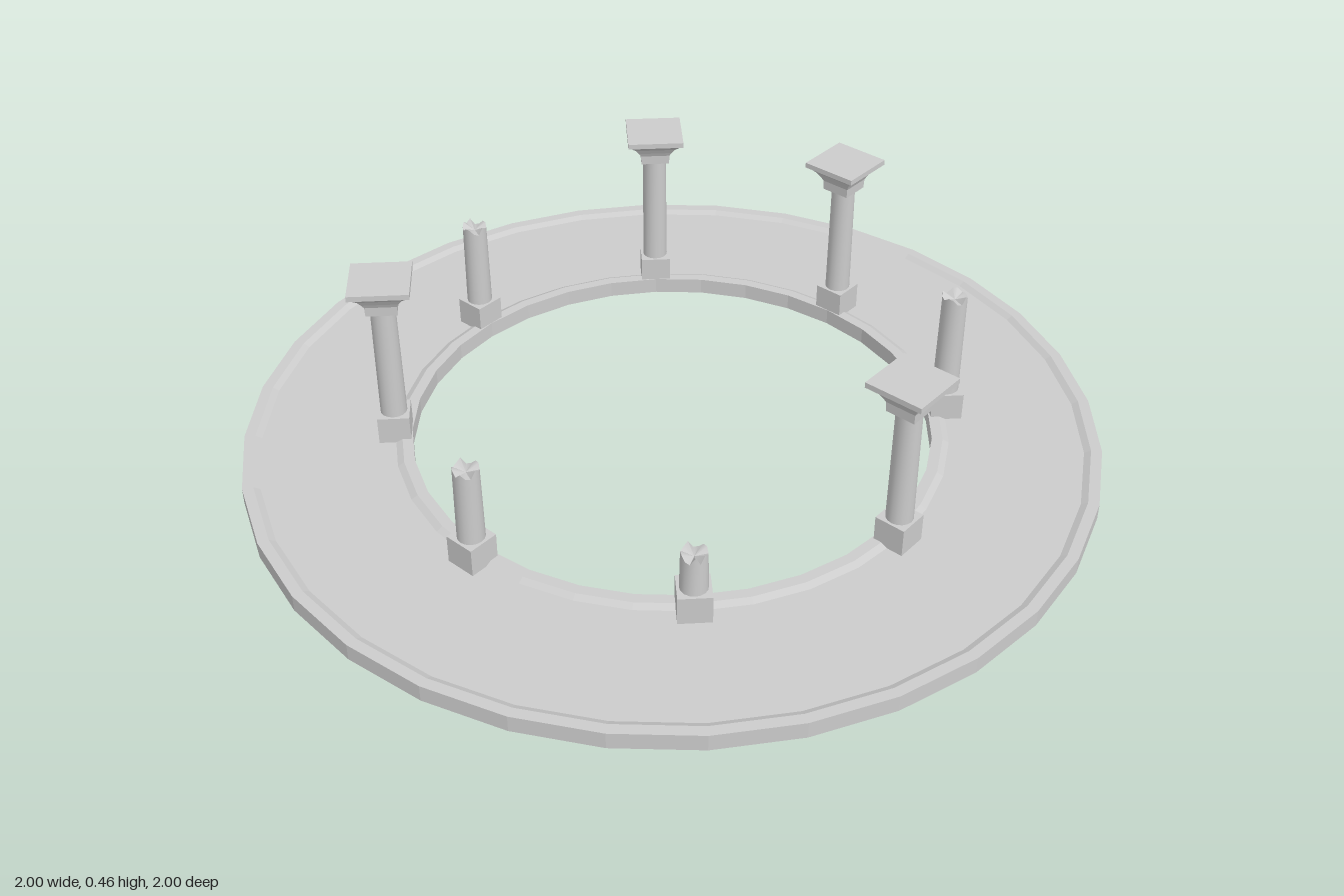
import * as THREE from 'three';
import { toCreasedNormals } from 'three/addons/utils/BufferGeometryUtils.js';

const SIDES = 16, FLOOR = 0.032, BASE_TOP = 0.1, COLLAR = 0.385;
const smooth = new THREE.MeshStandardMaterial({ color: 0xcccccc });
const faceted = new THREE.MeshStandardMaterial({ color: 0xcccccc, flatShading: true });

function add(parent, name, geometry, material, y = 0) {
  const mesh = new THREE.Mesh(geometry, material);
  mesh.name = name;
  mesh.position.y = y;
  parent.add(mesh);
  return mesh;
}

const points = (list) => list.map(([x, y]) => new THREE.Vector2(x, y));

// Shaft; a broken one gets a jagged rim around a hollowed top
function shaftGeometry(top, broken, seed) {
  const height = top - BASE_TOP;
  const geometry = new THREE.CylinderGeometry(0.029, 0.031, height, SIDES);
  if (broken) {
    const jag = [0, 0.012, 0.004, 0.018, 0.009, 0.003, 0.015];
    const pos = geometry.attributes.position;
    for (let i = 0; i < pos.count; i++) {
      if (pos.getY(i) < height / 2 - 1e-4) continue;
      const x = pos.getX(i), z = pos.getZ(i);
      const step = (Math.round(Math.atan2(z, x) / (2 * Math.PI) * SIDES) + SIDES) % SIDES;
      const drop = Math.hypot(x, z) < 0.001 ? 0.018 : jag[(step * 3 + seed) % jag.length];
      pos.setY(i, height / 2 - drop);
    }
  }
  geometry.translate(0, BASE_TOP + height / 2, 0);
  return toCreasedNormals(geometry, 0.6);
}

// Square capital: collar, concave flare and flat slab
function capitalGeometry() {
  const profile = [
    [0, COLLAR], [0.035, COLLAR], [0.036, 0.408], [0.041, 0.418],
    [0.049, 0.431], [0.059, 0.441], [0.069, 0.447], [0.069, 0.46], [0, 0.46],
  ].map(([half, y]) => [half * Math.SQRT2, y]);
  return new THREE.LatheGeometry(points(profile), 4).rotateY(Math.PI / 4);
}

function column(top, seed) {
  const group = new THREE.Group();
  const whole = top === null;
  group.name = whole ? 'wholeColumn' : 'brokenColumn';
  const baseHeight = BASE_TOP - FLOOR + 0.004;
  add(group, 'base', new THREE.BoxGeometry(0.074, baseHeight, 0.074), faceted, BASE_TOP - baseHeight / 2);
  add(group, 'shaft', shaftGeometry(whole ? COLLAR + 0.005 : top, !whole, seed), smooth);
  if (whole) add(group, 'capital', capitalGeometry(), faceted);
  return group;
}

export function createModel() {
  const model = new THREE.Group();
  model.name = 'ruinedColonnade';

  // Ring platform with a raised lip along both edges
  const ring = points([
    [0.61, 0], [1, 0], [1, 0.04], [0.975, 0.04], [0.96, FLOOR],
    [0.65, FLOOR], [0.635, 0.04], [0.61, 0.04], [0.61, 0],
  ]);
  add(model, 'platform', new THREE.LatheGeometry(ring, 32), faceted);

  // Eight columns around the inner edge; null means whole, a number is a broken height
  [null, 0.365, null, null, 0.32, null, 0.29, 0.2].forEach((top, i) => {
    const spoke = new THREE.Group();
    spoke.name = 'columnSpoke' + i;
    spoke.rotation.y = i * Math.PI / 4;
    const post = column(top, i);
    post.position.x = 0.648;
    spoke.add(post);
    model.add(spoke);
  });
  return model;
}
